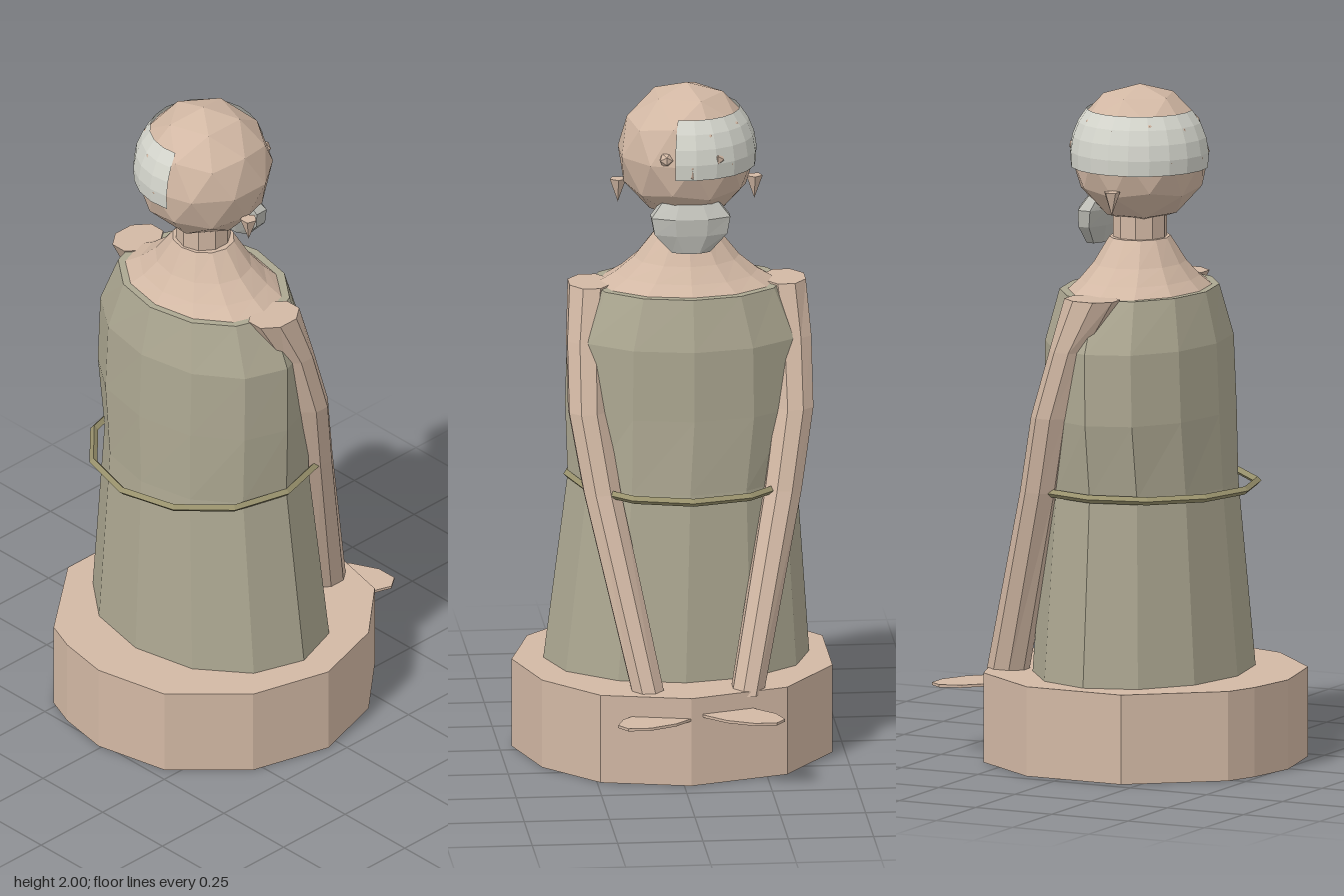
import * as THREE from 'three';

const SKIN = 0xd2b8a4, ROBE = 0xaca791, CORD = 0x98916c, CLOTH = 0xd4d5cc, BEARD = 0xbdbdb6;
const CX = -0.05; // the figure's own mid-plane
const CZ = 0.05;

function part(name, geometry, color, pos = [0, 0, 0]) {
  const material = new THREE.MeshStandardMaterial({ color, flatShading: true, side: THREE.DoubleSide });
  const mesh = new THREE.Mesh(geometry, material);
  mesh.name = name;
  mesh.position.set(...pos);
  return mesh;
}

// Skin over horizontal elliptical rings [y, cx, cz, rx, rz], listed bottom to top, with end caps
function loft(rings, sides, turn = 0) {
  const pos = [], idx = [];
  for (const [y, cx, cz, rx, rz] of rings) {
    for (let i = 0; i < sides; i++) {
      const a = turn + (i / sides) * Math.PI * 2;
      pos.push(cx + rx * Math.sin(a), y, cz + rz * Math.cos(a));
    }
  }
  for (let r = 0; r < rings.length - 1; r++) {
    for (let i = 0; i < sides; i++) {
      const a = r * sides + i, b = r * sides + (i + 1) % sides;
      idx.push(a, b, b + sides, a, b + sides, a + sides);
    }
  }
  const top = (rings.length - 1) * sides;
  for (let i = 1; i < sides - 1; i++) {
    idx.push(0, i + 1, i, top, top + i, top + i + 1);
  }
  const g = new THREE.BufferGeometry();
  g.setAttribute('position', new THREE.Float32BufferAttribute(pos, 3));
  g.setIndex(idx);
  const flat = g.toNonIndexed();
  flat.computeVertexNormals();
  return flat;
}

export function createModel() {
  const group = new THREE.Group();

  // Uneven slab underneath
  const outline = [[-0.02, -0.425], [0.24, -0.365], [0.395, -0.19], [0.463, 0.04], [0.395, 0.28], [0.215, 0.465],
    [-0.01, 0.515], [-0.17, 0.487], [-0.265, 0.45], [-0.463, 0.2], [-0.463, -0.11], [-0.31, -0.33]];
  const slab = new THREE.ExtrudeGeometry(
    new THREE.Shape(outline.map(([x, z]) => new THREE.Vector2(x, -z))), { depth: 0.265, bevelEnabled: false });
  slab.rotateX(-Math.PI / 2);
  group.add(part('base', slab, SKIN));

  // Robe
  group.add(part('robe', loft([
    [0.26, -0.02, 0.048, 0.39, 0.307],
    [0.82, -0.037, 0.05, 0.335, 0.265],
    [1.04, CX, 0.052, 0.355, 0.258],
    [1.25, CX, 0.048, 0.35, 0.253],
    [1.4, CX, 0.048, 0.285, 0.218],
  ], 12), ROBE));

  // Shoulders and neck
  group.add(part('shoulders', loft([
    [1.395, CX, CZ, 0.27, 0.2],
    [1.43, CX, CZ, 0.21, 0.165],
    [1.475, CX, CZ, 0.155, 0.13],
    [1.55, CX, CZ, 0.095, 0.088],
  ], 12), SKIN));
  group.add(part('neck', new THREE.CylinderGeometry(0.08, 0.08, 0.14, 10), SKIN, [CX, 1.57, CZ]));

  // Waist cord
  const cord = new THREE.TorusGeometry(0.338, 0.012, 4, 12);
  cord.rotateX(Math.PI / 2);
  group.add(part('waistCord', cord, CORD, [-0.04, 0.82, CZ]));

  // Head: faceted ball with a vertex at its crown
  const ball = new THREE.IcosahedronGeometry(0.205, 1);
  ball.rotateZ(Math.atan(2 / (1 + Math.sqrt(5))));
  group.add(part('head', ball, SKIN, [CX, 1.795, CZ]));

  // Cloth band wrapped round one side of the head
  const band = new THREE.SphereGeometry(0.206, 12, 4, Math.PI * 0.92, Math.PI * 1.16, 0.86, 0.88);
  band.rotateY(Math.PI / 2);
  group.add(part('headBand', band, CLOTH, [CX, 1.793, CZ]));

  // Beard
  group.add(part('beard', loft([
    [1.525, CX, -0.085, 0.06, 0.03],
    [1.58, CX, -0.08, 0.115, 0.045],
    [1.63, CX, -0.075, 0.125, 0.052],
    [1.67, CX, -0.06, 0.09, 0.04],
  ], 8, Math.PI / 8), BEARD));

  // Nose
  group.add(part('nose', new THREE.IcosahedronGeometry(0.022, 0), SKIN, [CX, 1.775, -0.135]));

  for (const s of [-1, 1]) {
    const side = s > 0 ? 'left' : 'right';

    // Arms run from the shoulders back and down to the base
    group.add(part(side + 'Arm', loft([
      [0.25, CX + s * 0.145, -0.31, 0.05, 0.065],
      [0.82, CX + s * 0.265, -0.14, 0.058, 0.06],
      [1.05, CX + s * 0.302, -0.085, 0.06, 0.06],
      [1.25, CX + s * 0.3, -0.025, 0.062, 0.06],
      [1.405, CX + s * 0.285, 0.04, 0.066, 0.085],
    ], 8, Math.PI / 8), SKIN));

    // Teardrop earlobes
    const lobe = new THREE.ConeGeometry(0.025, 0.07, 5);
    lobe.rotateX(Math.PI);
    group.add(part(side + 'Earlobe', lobe, SKIN, [CX + s * 0.2, 1.675, 0.06]));

    // Eyes
    group.add(part(side + 'Eye', new THREE.IcosahedronGeometry(0.022, 0), SKIN, [CX + s * 0.075, 1.815, -0.122]));

    // Flat leaf-like feet splayed behind the base
    const foot = new THREE.CylinderGeometry(1, 1, 0.008, 10);
    foot.scale(0.145, 1, 0.075);
    foot.rotateY(s * 0.62);
    group.add(part(side + 'Foot', foot, SKIN, [-0.045 + s * 0.118, s > 0 ? 0.2 : 0.21, s > 0 ? -0.412 : -0.425]));
  }
  return group;
}
